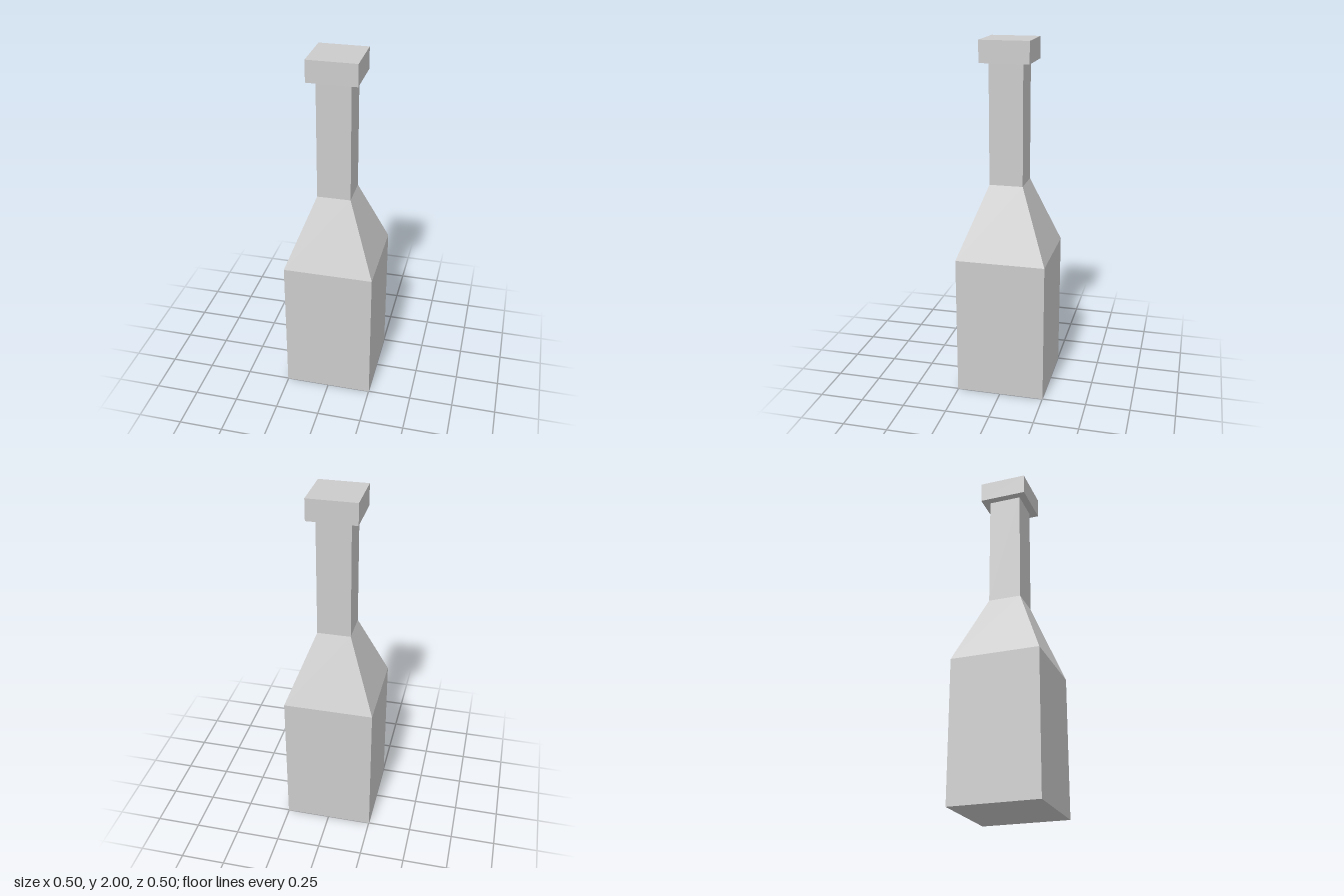
import * as THREE from 'three';

const material = new THREE.MeshStandardMaterial({ color: 0xcccccc, flatShading: true });

// Four-sided section between two heights, given by half-widths at bottom and top
function squareSection(name, y0, y1, half0, half1, openEnded) {
  const geometry = new THREE.CylinderGeometry(
    half1 * Math.SQRT2, half0 * Math.SQRT2, y1 - y0, 4, 1, openEnded, Math.PI / 4);
  const mesh = new THREE.Mesh(geometry, material);
  mesh.name = name;
  mesh.position.y = (y0 + y1) / 2;
  return mesh;
}

export function createModel() {
  const bottle = new THREE.Group();
  bottle.name = 'bottle';

  const bodyHalf = 0.252, neckHalf = 0.094, capHalf = 0.137;
  const bodyTop = 0.804, shoulderTop = 1.21, neckTop = 1.88, top = 2;

  // Body with its flat base
  bottle.add(squareSection('body', 0, bodyTop, bodyHalf, bodyHalf, true));
  const base = new THREE.Mesh(new THREE.PlaneGeometry(bodyHalf * 2, bodyHalf * 2), material);
  base.name = 'base';
  base.rotation.x = Math.PI / 2;
  bottle.add(base);

  // Tapered shoulder and straight neck
  bottle.add(squareSection('shoulder', bodyTop, shoulderTop, bodyHalf, neckHalf, true));
  bottle.add(squareSection('neck', shoulderTop, neckTop, neckHalf, neckHalf, true));

  // Overhanging cap
  bottle.add(squareSection('cap', neckTop, top, capHalf, capHalf, false));

  return bottle;
}
